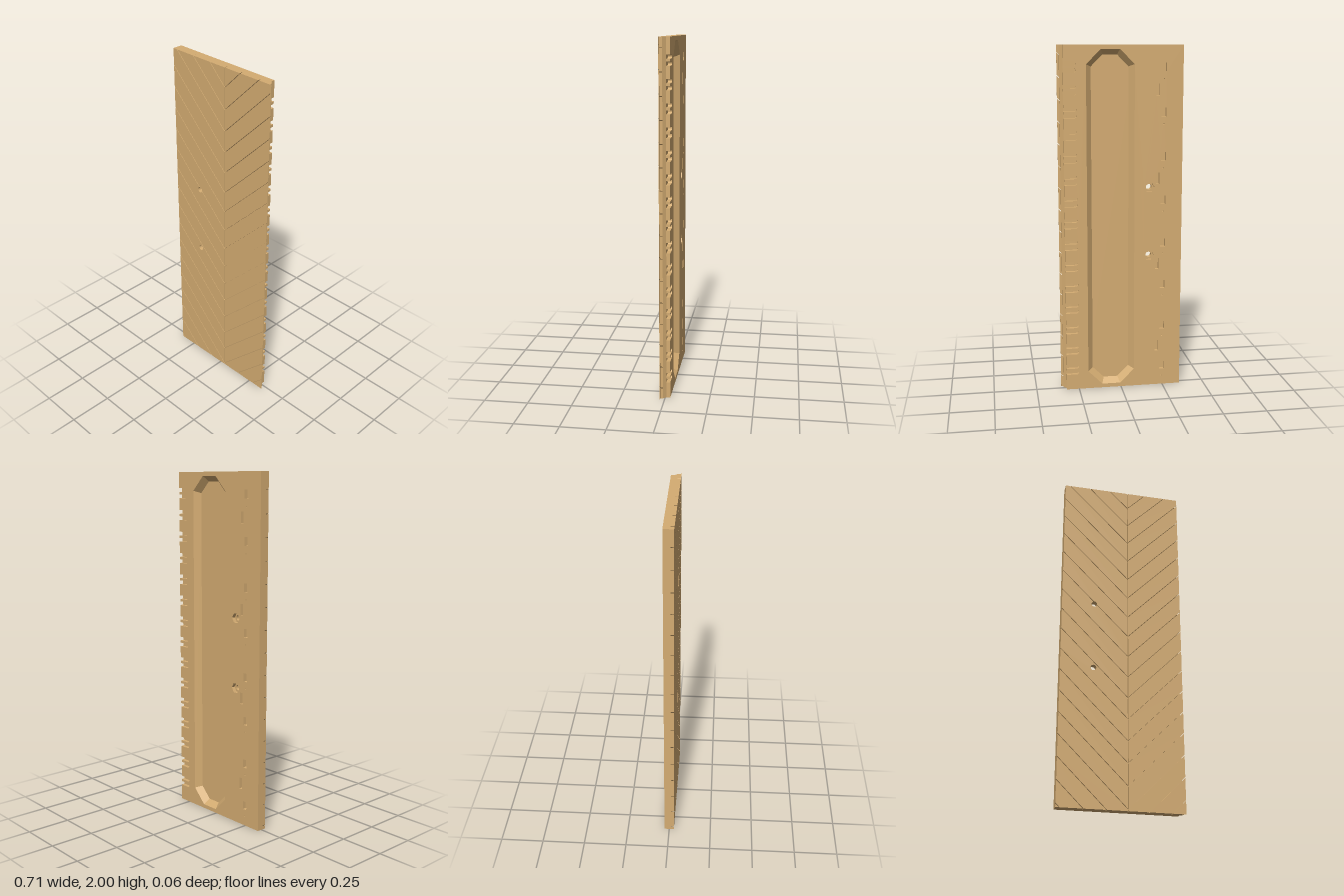
import * as THREE from 'three';

const W = 0.355, H = 2, BACK = -0.0285, MID = -0.007, BED = 0.01, LIP = 0.0255, FRONT = 0.0285;
const EDGE = 0.3226, SEAM = 0.034, PITCH = 0.1255;
const BOLTS = [[-0.165, 1.2], [-0.165, 0.8]], BOLT_R = 0.0165;

export function createModel() {
  const wood = new THREE.MeshStandardMaterial({ color: 0xd4ac72, side: THREE.DoubleSide });
  wood.name = 'tan wood';
  const model = new THREE.Group();
  model.name = 'panel';
  const add = (name, geometry, parent = model) => {
    const mesh = new THREE.Mesh(geometry, wood);
    mesh.name = name;
    parent.add(mesh);
    return mesh;
  };

  const toShape = (pts) => new THREE.Shape(pts.map(([x, y]) => new THREE.Vector2(x, y)));
  const ngon = (x, y, r, n) => Array.from({ length: n }, (_, i) => {
    const a = (i / n) * Math.PI * 2;
    return [x + r * Math.cos(a), y + r * Math.sin(a)];
  });
  const rect = (x, y, w, h) => [[x - w / 2, y - h / 2], [x + w / 2, y - h / 2], [x + w / 2, y + h / 2], [x - w / 2, y + h / 2]];
  const plate = (pts, holes, z0, z1) => {
    const shape = toShape(pts);
    shape.holes = holes.map(toShape);
    return new THREE.ExtrudeGeometry(shape, { depth: z1 - z0, bevelEnabled: false }).translate(0, 0, z0);
  };

  // Long recess with cut corners; inset shrinks the outline
  const recess = (i) => {
    const l = -0.078 + i, r = 0.195 - i, b = 0.023 + i, t = 1.977 - i, c = 0.083 - 0.585 * i;
    return [[l + c, b], [r - c, b], [r, b + c], [r, t - c], [r - c, t], [l + c, t], [l, t - c], [l, b + c]];
  };

  // Inner core
  const bolts = BOLTS.map(([x, y]) => ngon(x, y, BOLT_R, 24));
  add('core', plate([[-W, 0], [EDGE, 0], [EDGE, H], [-W, H]], [recess(0), ...bolts], MID, BED));

  // Back layer: finger slots open to the edge, mounting pockets and bolt seats
  const outline = [[-W, 0], [EDGE, 0]];
  for (let i = 0; i < 15; i++) {
    const y = 0.12 + i * 0.1257;
    for (const c of [y - 0.018, y + 0.018]) {
      outline.push([EDGE, c - 0.011], [0.258, c - 0.011], [0.25, c - 0.004],
        [0.25, c + 0.004], [0.258, c + 0.011], [EDGE, c + 0.011]);
    }
  }
  outline.push([EDGE, H], [-W, H]);
  const pockets = [recess(0), ...BOLTS.map(([x, y]) => ngon(x, y, 0.03, 6))];
  for (let i = 0; i < 8; i++) {
    const y = 0.12 + i * 0.2514;
    pockets.push(rect(-0.245, y, 0.028, 0.048), rect(-0.245, y - 0.065, 0.008, 0.008));
  }
  for (let i = 0; i < 4; i++) pockets.push(rect(-0.212, 0.246 + i * 0.503, 0.02, 0.066));
  add('backLayer', plate(outline, pockets, BACK, MID));

  // Sloping recess walls and floor
  const outer = recess(0), inner = recess(0.03), pos = [], floorZ = 0.006;
  outer.forEach((p, i) => {
    const j = (i + 1) % outer.length;
    const a = [...p, BACK], b = [...outer[j], BACK], c = [...inner[j], floorZ], d = [...inner[i], floorZ];
    pos.push(...a, ...c, ...b, ...a, ...d, ...c);
  });
  const walls = new THREE.BufferGeometry();
  walls.setAttribute('position', new THREE.Float32BufferAttribute(pos, 3));
  walls.computeVertexNormals();
  add('recessWalls', walls);
  add('recessFloor', plate(recess(0), [], floorZ, BED));

  // Chamfered strip along the left edge
  const strip = new THREE.ExtrudeGeometry(toShape([[EDGE, -MID], [EDGE, -BED], [0.34, -BED]]), { depth: H, bevelEnabled: false });
  add('edgeChamfer', strip.rotateX(-Math.PI / 2));

  // Keep the side of a polygon where f >= 0
  const clip = (pts, f) => pts.flatMap((p, i) => {
    const q = pts[(i + 1) % pts.length], a = f(p), b = f(q), out = a >= 0 ? [p] : [];
    if (a * b < 0) {
      const t = a / (a - b);
      out.push([p[0] + t * (q[0] - p[0]), p[1] + t * (q[1] - p[1])]);
    }
    return out;
  });

  // Cut a round bite where a counterclockwise outline crosses a bolt hole
  const bite = (pts, [cx, cy]) => pts.flatMap((p, i) => {
    const q = pts[(i + 1) % pts.length], dx = q[0] - p[0], dy = q[1] - p[1], len = Math.hypot(dx, dy);
    const along = ((cx - p[0]) * dx + (cy - p[1]) * dy) / len;
    const off = ((cx - p[0]) * dy - (cy - p[1]) * dx) / len;
    if (Math.abs(off) >= BOLT_R) return [p];
    const half = Math.sqrt(BOLT_R * BOLT_R - off * off);
    if (along - half < 0 || along + half > len) return [p];
    const angle = (s) => Math.atan2(p[1] + (s * dy) / len - cy, p[0] + (s * dx) / len - cx);
    const a1 = angle(along - half);
    let a2 = angle(along + half);
    if (a2 > a1) a2 -= Math.PI * 2;
    const arc = Array.from({ length: 15 }, (_, k) => {
      const a = a1 + ((a2 - a1) * k) / 14;
      return [cx + BOLT_R * Math.cos(a), cy + BOLT_R * Math.sin(a)];
    });
    return [p, ...arc];
  });

  // Diagonal boards on each side of the centre seam, parted by narrow grooves
  const boards = (name, side, reach, z0, z1) => {
    const group = new THREE.Group();
    group.name = name;
    model.add(group);
    for (let k = -1; k < 20; k++) {
      const top = 1.891 - k * PITCH - 0.0022, bottom = 1.891 - (k + 1) * PITCH + 0.0022;
      let pts = [[0.0025, 0], [reach, 0], [reach, H], [0.0025, H]];
      pts = clip(pts, ([u, y]) => top - (y - u));
      pts = clip(pts, ([u, y]) => y - u - bottom);
      if (pts.length < 3) continue;
      pts = pts.map(([u, y]) => [SEAM + side * u, y]);
      if (side < 0) pts.reverse();
      const holes = [];
      for (const [x, y] of side < 0 ? BOLTS : []) {
        const s = y - (SEAM - x), gap = BOLT_R * Math.SQRT2;
        if (s < top - gap && s > bottom + gap) holes.push(ngon(x, y, BOLT_R, 24));
        else pts = bite(pts, [x, y]);
      }
      add('board', plate(pts, holes, z0, z1), group);
    }
  };
  // extra boards above the first groove come from steeper offsets
  boards('rightBoards', -1, SEAM + W, BED, FRONT);
  boards('leftBoards', 1, 0.34 - SEAM, BED, LIP);
  boards('leftBoardLips', 1, 0.353 - SEAM, LIP, FRONT);
  return model;
}
